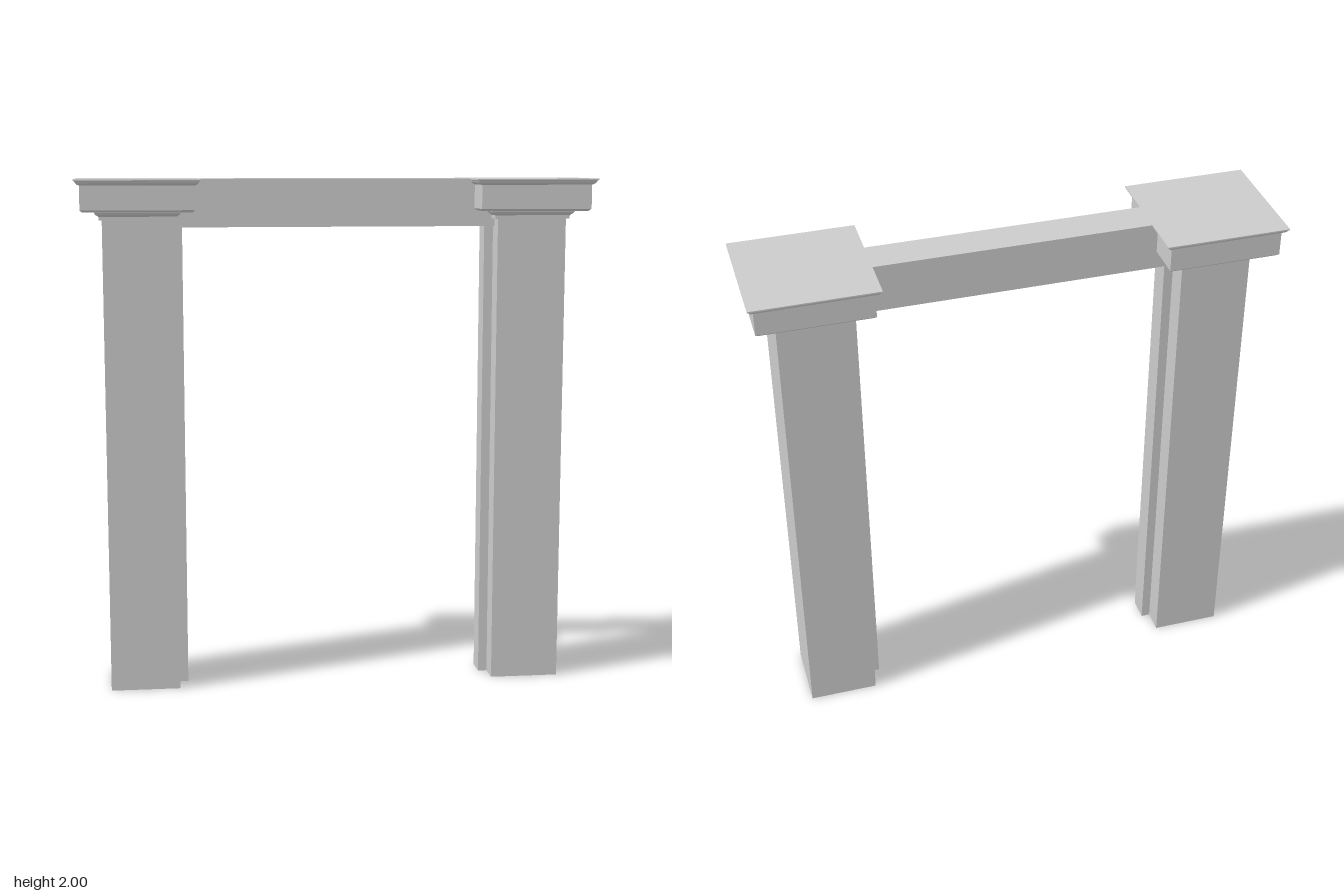
import * as THREE from 'three';

const material = new THREE.MeshStandardMaterial({ color: 0xcccccc, flatShading: true, side: THREE.DoubleSide });

function addMesh(parent, name, geometry) {
  const mesh = new THREE.Mesh(geometry, material);
  mesh.name = name;
  parent.add(mesh);
  return mesh;
}

// Four upright walls, open at top and bottom, standing on y = 0
function hollowPost(width, height, depth) {
  return new THREE.CylinderGeometry(Math.SQRT1_2, Math.SQRT1_2, 1, 4, 1, true)
    .rotateY(Math.PI / 4)
    .scale(width, height, depth)
    .translate(0, height / 2, 0);
}

// Square moulding turned from a profile of [half width, height]
function squareMoulding(profile) {
  const points = profile.map(([half, y]) => new THREE.Vector2(half * Math.SQRT2, y));
  return new THREE.LatheGeometry(points, 4).rotateY(Math.PI / 4);
}

const capitalProfile = [
  [0.135, 1.845], [0.147, 1.845], [0.147, 1.859], [0.151, 1.862], [0.158, 1.867],
  [0.163, 1.874], [0.163, 1.877], [0.206, 1.877], [0.215, 1.885], [0.215, 1.977],
  [0.222, 1.98], [0.229, 1.986], [0.232, 1.993], [0.237, 1.995], [0.237, 2], [0, 2],
];

export function createModel() {
  const model = new THREE.Group();
  model.name = 'gateway';

  for (const side of [1, -1]) {
    const column = new THREE.Group();
    column.name = side > 0 ? 'leftColumn' : 'rightColumn';
    column.position.x = side * 0.763;
    model.add(column);

    addMesh(column, 'pillar', hollowPost(0.27, 1.85, 0.27));
    addMesh(column, 'capital', squareMoulding(capitalProfile));

    // Narrow strip on the inner face, under the lintel
    addMesh(column, 'jamb', hollowPost(0.038, 1.815, 0.09)).position.x = -side * 0.151;
  }

  // Beam between the pillars, its top level with the capitals
  addMesh(model, 'lintel', new THREE.BoxGeometry(1.26, 0.185, 0.14)).position.y = 1.9075;

  return model;
}
